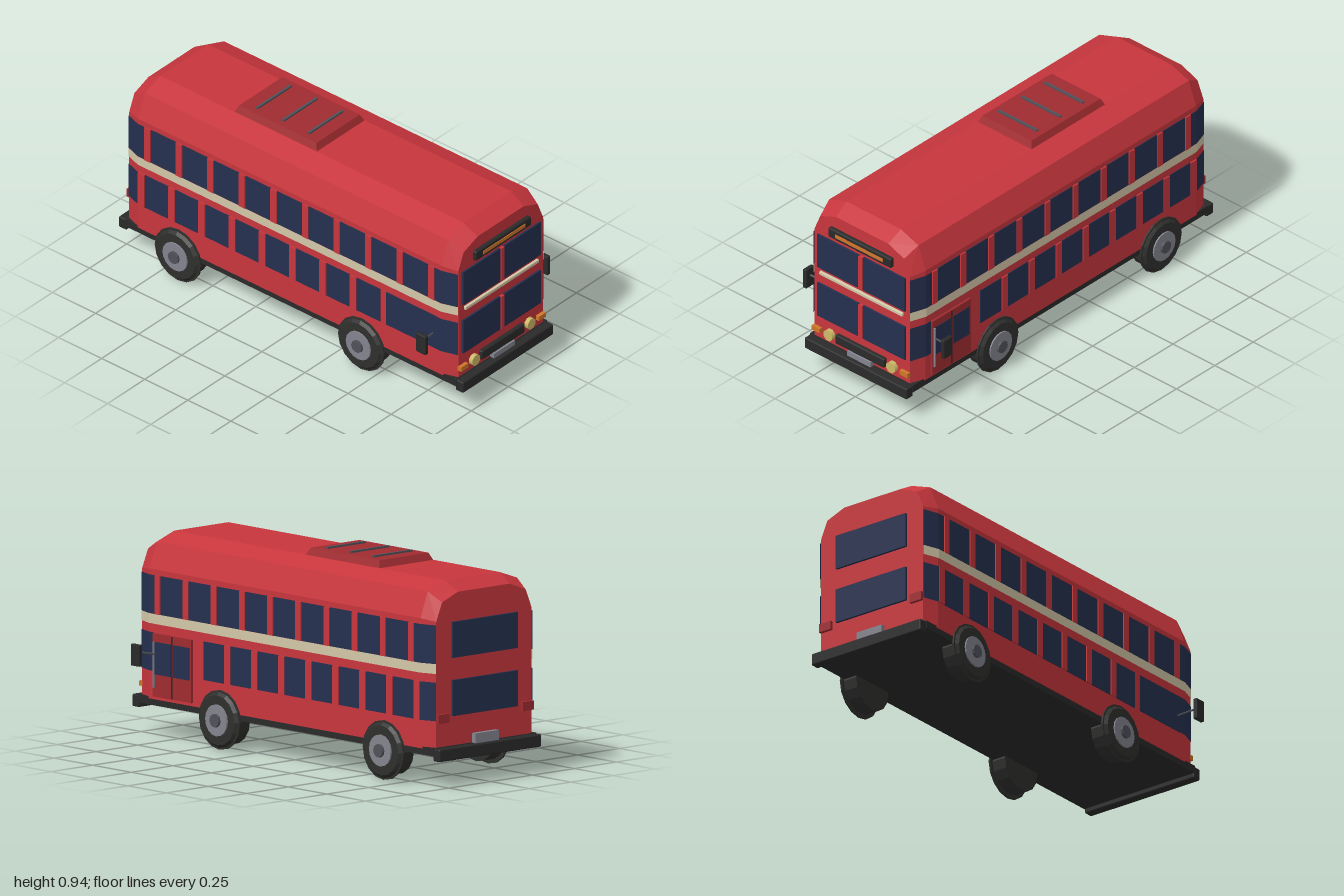
import * as THREE from 'three';
import { RoundedBoxGeometry } from 'three/addons/geometries/RoundedBoxGeometry.js';
import { ConvexGeometry } from 'three/addons/geometries/ConvexGeometry.js';

const mat = (name, color) => {
  const m = new THREE.MeshStandardMaterial({ color });
  m.name = name;
  return m;
};

export function createModel() {
  const red = mat('red paint', 0xc8363d);
  const darkRed = mat('dark red', 0xa02c30);
  const glass = mat('window glass', 0x25304f);
  const cream = mat('cream', 0xd4c8a8);
  const black = mat('black trim', 0x2a2a2a);
  const rubber = mat('tyre rubber', 0x2f302e);
  const grey = mat('light grey', 0x84848f);
  const darkGrey = mat('dark grey', 0x51525a);
  const orange = mat('orange', 0xd0762a);
  const yellow = mat('headlight yellow', 0xcfbb68);
  glass.side = cream.side = THREE.DoubleSide;

  const bus = new THREE.Group();
  bus.name = 'doubleDeckerBus';

  const add = (name, geo, material, x = 0, y = 0, z = 0, parent = bus) => {
    const m = new THREE.Mesh(geo, material);
    m.name = name;
    m.position.set(x, y, z);
    parent.add(m);
    return m;
  };
  // Box given by its limits on each axis
  const span = (name, material, [x0, x1], [y0, y1], [z0, z1], round = 0) => {
    const s = [x1 - x0, y1 - y0, z1 - z0];
    const geo = round ? new RoundedBoxGeometry(...s, 2, round) : new THREE.BoxGeometry(...s);
    return add(name, geo, material, (x0 + x1) / 2, (y0 + y1) / 2, (z0 + z1) / 2);
  };
  // Upright strip that follows a path of [x, z] points
  const strip = (name, material, path, y0, y1) => {
    const geo = new THREE.PlaneGeometry(1, 1, path.length - 1, 1);
    const p = geo.attributes.position;
    for (let i = 0; i < p.count; i++) {
      const [x, z] = path[i % path.length];
      p.setXYZ(i, x, i < path.length ? y1 : y0, z);
    }
    const flat = geo.toNonIndexed();
    flat.computeVertexNormals();
    add(name, flat, material);
  };

  // Body shell: full section along the length, smaller section at both ends
  const full = [[0.31, 0.17], [0.31, 0.75], [0.267, 0.865], [0.162, 0.902]];
  const end = [[0.285, 0.17], [0.285, 0.74], [0.25, 0.823], [0.155, 0.86]];
  const hull = [];
  for (const s of [1, -1]) for (const f of [1, -1]) {
    for (const [x, y] of full) hull.push(new THREE.Vector3(s * x, y, f * 0.88));
    for (const [x, y] of end) hull.push(new THREE.Vector3(s * x, y, f * 0.955));
  }
  add('body', new ConvexGeometry(hull), red);

  // Chassis and bumpers
  span('chassis', black, [-0.307, 0.307], [0.142, 0.178], [-0.96, 0.96]);
  span('frontBumper', black, [-0.305, 0.305], [0.12, 0.176], [0.955, 1], 0.007);
  span('rearBumper', black, [-0.305, 0.305], [0.12, 0.176], [-1, -0.955], 0.007);

  // Roof vent with slats
  const vent = [];
  for (const s of [1, -1]) {
    for (const z of [0.03, -0.455]) vent.push(new THREE.Vector3(s * 0.163, 0.895, z));
    for (const z of [0.012, -0.437]) vent.push(new THREE.Vector3(s * 0.146, 0.934, z));
  }
  add('roofVent', new ConvexGeometry(vent), darkRed);
  for (const z of [-0.06, -0.21, -0.36])
    span('ventSlat', darkGrey, [-0.115, 0.115], [0.93, 0.942], [z - 0.006, z + 0.006]);

  // Side windows, pillars and stripes
  const upper = [0.552, 0.725], lower = [0.297, 0.469];
  for (const s of [1, -1]) {
    const sideX = (a, b) => (s > 0 ? [a, b] : [-b, -a]);
    for (let i = -4; i <= 4; i++) {
      const z = i * 0.183;
      span('upperSideWindow', glass, sideX(0.305, 0.313), upper, [z - 0.073, z + 0.073]);
    }
    for (let i = -4; i <= 5; i++) {
      const z = (i - 0.5) * 0.183;
      span('upperPillar', red, sideX(0.305, 0.317), upper, [z - 0.0175, z + 0.0175]);
    }
    for (let i = 0; i < 8; i++) {
      const z = 0.457 - i * 0.1755;
      span('lowerSideWindow', glass, sideX(0.305, 0.313), lower, [z - 0.068, z + 0.068]);
      span('lowerPillar', red, sideX(0.305, 0.317), lower, [z - 0.107, z - 0.069]);
    }
    // Glass wrapping round the chamfered corners
    for (const f of [1, -1]) {
      const corner = z => [[s * 0.313, f * z], [s * 0.313, f * 0.88], [s * 0.288, f * 0.957]];
      strip('upperCornerWindow', glass, corner(0.838), ...upper);
      strip('lowerCornerWindow', glass, corner(f > 0 ? 0.848 : 0.845), ...lower);
    }
    strip('sideStripe', cream, [[0.288, 0.957], [0.314, 0.88], [0.314, -0.88], [0.288, -0.957]]
      .map(([x, z]) => [s * x, z]), 0.508, 0.552);
  }
  span('driverWindow', glass, [-0.313, -0.305], lower, [0.56, 0.85]);

  // Entrance door on the left side
  span('door', darkRed, [0.3, 0.321], [0.185, 0.467], [0.597, 0.848]);
  span('doorGap', black, [0.3, 0.324], [0.187, 0.465], [0.719, 0.726]);
  for (const z of [0.66, 0.782])
    span('doorWindow', glass, [0.316, 0.323], [0.285, 0.43], [z - 0.052, z + 0.052]);
  span('doorHandle', grey, [0.32, 0.328], [0.225, 0.43], [0.833, 0.84]);

  // Front face
  for (const s of [1, -1]) {
    const x = s > 0 ? [0.012, 0.262] : [-0.262, -0.012];
    span('upperWindscreen', glass, x, upper, [0.95, 0.964]);
    span('lowerWindscreen', glass, x, [0.295, 0.469], [0.95, 0.964]);
    const lamp = add('headlight', new THREE.CylinderGeometry(0.028, 0.028, 0.03, 8), yellow, s * 0.187, 0.226, 0.96);
    lamp.geometry.rotateY(Math.PI / 8).rotateX(Math.PI / 2);
    span('turnSignal', orange, s > 0 ? [0.238, 0.286] : [-0.286, -0.238], [0.213, 0.236], [0.945, 0.973]);
    span('tailLight', darkRed, s > 0 ? [0.22, 0.285] : [-0.285, -0.22], [0.285, 0.325], [-0.97, -0.945]);
  }
  for (const y of [upper, lower]) span('windscreenPillar', red, [-0.011, 0.011], y, [0.95, 0.969]);
  span('destinationSign', black, [-0.187, 0.187], [0.75, 0.8], [0.94, 0.974], 0.008);
  span('signStrip', orange, [-0.142, 0.142], [0.766, 0.783], [0.97, 0.977]);
  span('frontTrim', cream, [-0.248, 0.248], [0.518, 0.536], [0.95, 0.967], 0.004);
  span('grille', black, [-0.146, 0.146], [0.202, 0.25], [0.945, 0.974], 0.008);
  span('frontPlate', grey, [-0.07, 0.07], [0.175, 0.201], [0.95, 0.978]);

  // Rear face
  span('upperRearWindow', glass, [-0.195, 0.195], [0.57, 0.73], [-0.966, -0.95]);
  span('lowerRearWindow', glass, [-0.195, 0.195], [0.31, 0.47], [-0.966, -0.95]);
  span('rearPlate', grey, [-0.07, 0.07], [0.175, 0.22], [-0.978, -0.95]);

  // Wheels, each turned from short cylinders along x
  const disc = (name, material, r0, r1, x0, x1, parent, sides = 16) => {
    const geo = new THREE.CylinderGeometry(r1, r0, x1 - x0, sides).toNonIndexed();
    geo.computeVertexNormals();
    geo.rotateZ(-Math.PI / 2);
    add(name, geo, material, (x0 + x1) / 2, 0, 0, parent);
  };
  for (const s of [1, -1]) for (const z of [0.418, -0.646]) {
    const wheel = new THREE.Group();
    wheel.name = 'wheel';
    wheel.position.set(0, 0.133, z);
    wheel.rotation.y = s > 0 ? 0 : Math.PI;
    bus.add(wheel);
    disc('tyre', rubber, 0.115, 0.115, 0.24, 0.312, wheel);
    disc('tyreWall', rubber, 0.133, 0.133, 0.309, 0.318, wheel);
    disc('tyreShoulder', rubber, 0.125, 0.112, 0.318, 0.331, wheel);
    disc('rim', grey, 0.071, 0.071, 0.32, 0.338, wheel);
    disc('hub', darkGrey, 0.03, 0.03, 0.33, 0.35, wheel, 10);
  }

  // Mirrors on thin arms
  for (const s of [1, -1]) {
    const arm = new THREE.LineCurve3(new THREE.Vector3(s * 0.3, 0.37, 0.828), new THREE.Vector3(s * 0.41, 0.392, 0.856));
    add('mirrorArm', new THREE.TubeGeometry(arm, 1, 0.005, 6), darkGrey);
    span('mirror', black, s > 0 ? [0.401, 0.422] : [-0.422, -0.401], [0.33, 0.427], [0.826, 0.882], 0.004);
  }
  return bus;
}
